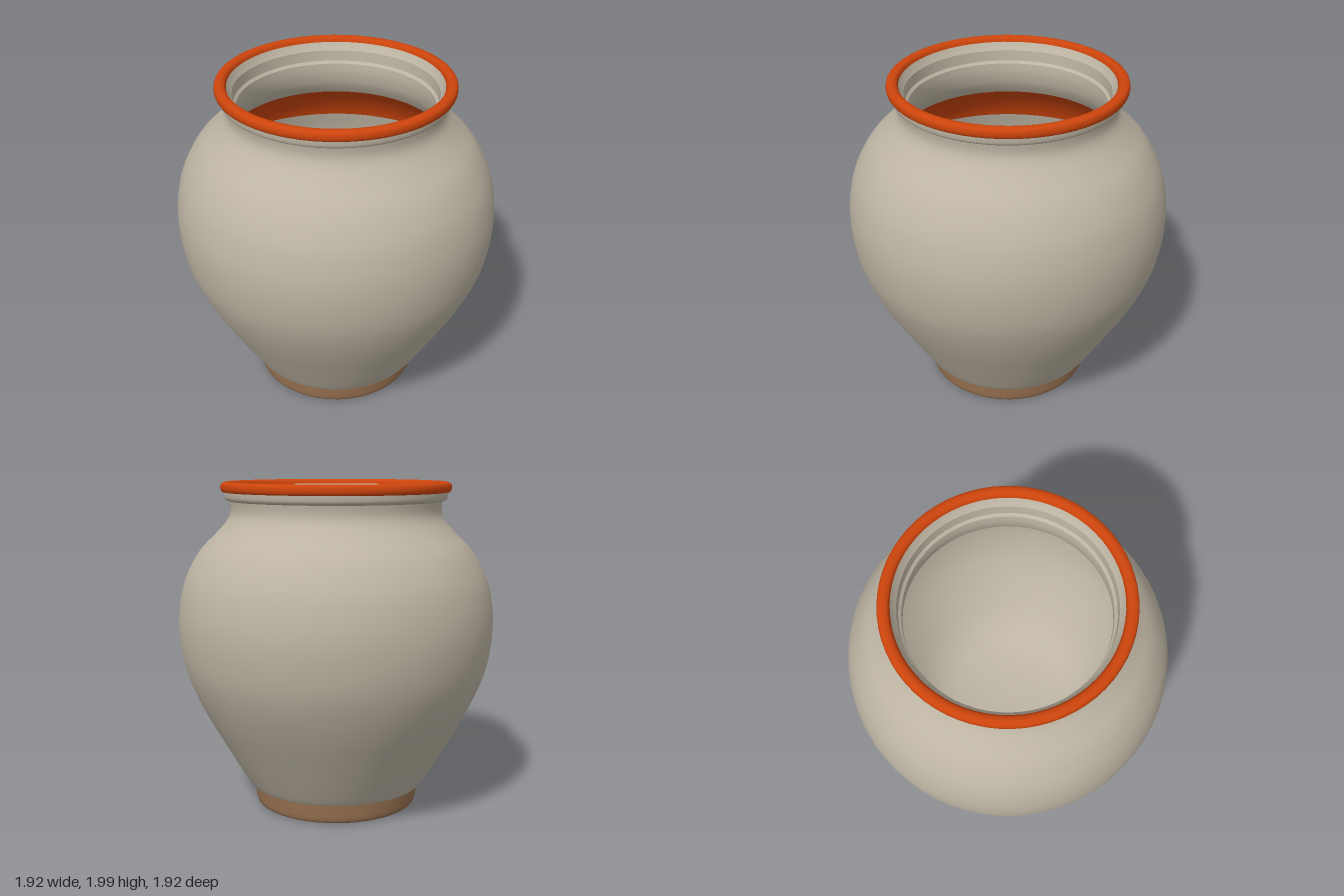
import * as THREE from 'three';

const material = (name, color) => {
  const m = new THREE.MeshStandardMaterial({ color });
  m.name = name;
  return m;
};

// Smooth curve through [radius, height] points
const smooth = (points, steps) =>
  new THREE.SplineCurve(points.map(([r, y]) => new THREE.Vector2(r, y))).getPoints(steps);

export function createModel() {
  const jar = new THREE.Group();
  jar.name = 'jar';
  const glaze = material('grey glaze', 0xbdb4a3);
  const orange = material('orange glaze', 0xcc440c);
  const clay = material('bare clay', 0x967050);

  // Profiles run up the outside and down the inside
  const turn = (name, profile, mat) => {
    const points = profile.map((p) => (p.isVector2 ? p : new THREE.Vector2(p[0], p[1])));
    const mesh = new THREE.Mesh(new THREE.LatheGeometry(points, 64), mat);
    mesh.name = name;
    jar.add(mesh);
  };

  // Foot: flat base with a rounded lower edge
  turn('footBase', [[0, 0.01], [0.47, 0.01]], clay);
  turn('foot', smooth([[0.47, 0.01], [0.492, 0.017], [0.503, 0.04], [0.508, 0.08], [0.513, 0.135]], 12), clay);

  // Outer wall: underside ledge, belly, shoulder and neck
  turn('bodyLedge', [[0.505, 0.135], [0.532, 0.137]], glaze);
  turn('body', smooth([
    [0.532, 0.137], [0.55, 0.155], [0.62, 0.27], [0.71, 0.425], [0.80, 0.585], [0.87, 0.73],
    [0.922, 0.87], [0.95, 1.01], [0.96, 1.15], [0.95, 1.28], [0.92, 1.41], [0.87, 1.52],
    [0.81, 1.61], [0.73, 1.69], [0.67, 1.755], [0.643, 1.80], [0.636, 1.84], [0.64, 1.885],
  ], 60), glaze);

  // Collar below the rim
  turn('collar', smooth([[0.64, 1.885], [0.662, 1.893], [0.672, 1.91], [0.675, 1.945]], 12), glaze);

  // Rounded coloured rim
  turn('rim', smooth([
    [0.67, 1.938], [0.688, 1.943], [0.695, 1.965], [0.688, 1.99], [0.662, 2.0], [0.636, 1.992], [0.625, 1.97],
  ], 24), orange);

  // Inside of the mouth with a small step
  turn('mouth', [[0.625, 1.97], [0.612, 1.945], [0.597, 1.925]], glaze);
  turn('mouthWall', [[0.597, 1.925], [0.592, 1.86]], glaze);
  turn('mouthStep', [[0.592, 1.86], [0.577, 1.845]], glaze);
  turn('throat', smooth([[0.577, 1.845], [0.576, 1.78], [0.595, 1.70], [0.635, 1.63]], 12), glaze);

  // Coloured band under the shoulder, then the inner bowl
  turn('innerBand', smooth([[0.635, 1.63], [0.75, 1.54], [0.82, 1.44], [0.85, 1.37]], 12), orange);
  turn('innerBowl', smooth([
    [0.85, 1.37], [0.89, 1.2], [0.885, 1.02], [0.84, 0.82], [0.74, 0.6], [0.6, 0.38], [0.45, 0.25], [0.25, 0.19], [0, 0.17],
  ], 36), glaze);

  return jar;
}
